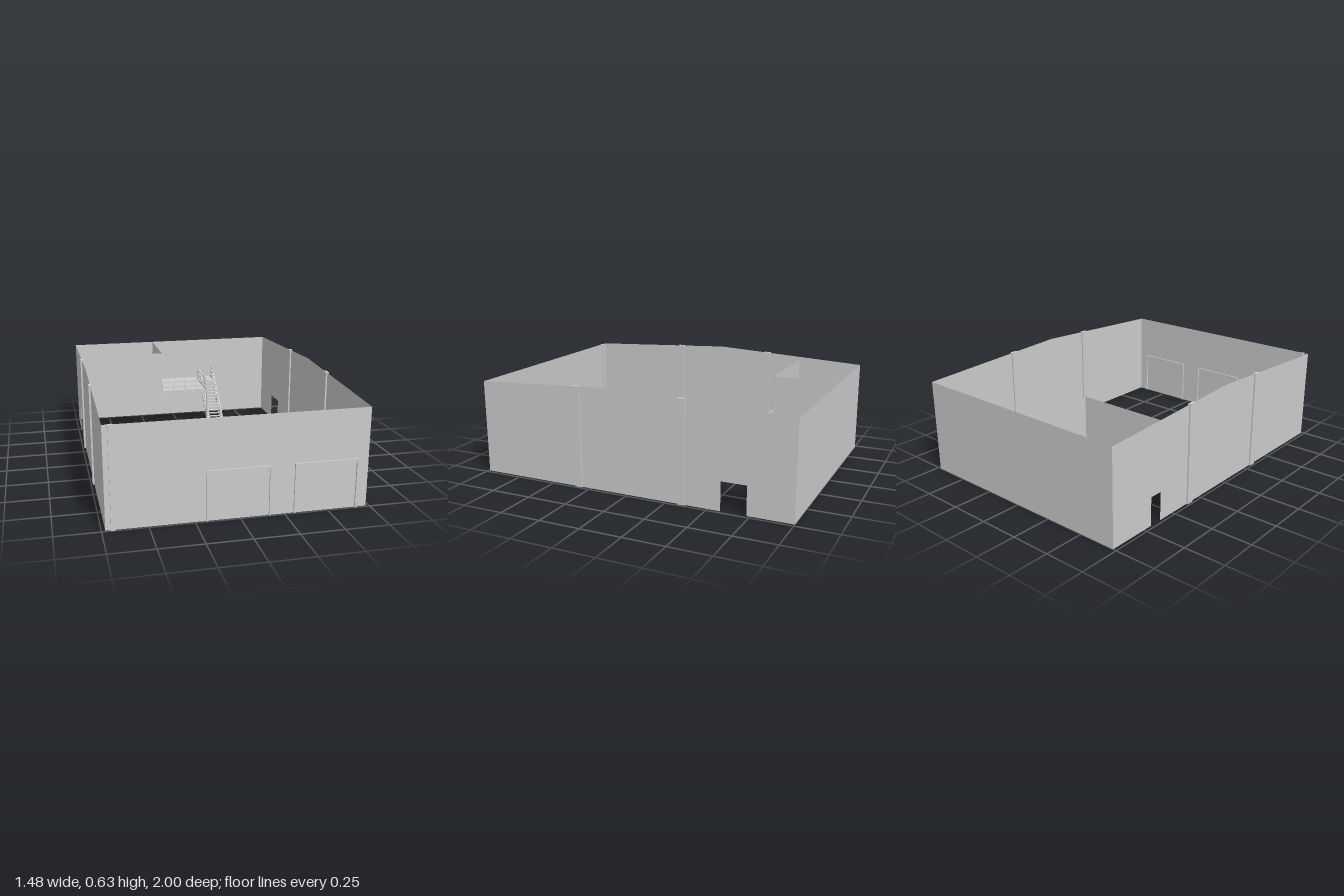
import * as THREE from 'three';

const mat = new THREE.MeshStandardMaterial({ color: 0xcccccc, flatShading: true });
const sheet = new THREE.MeshStandardMaterial({ color: 0xcccccc, side: THREE.DoubleSide });

export function createModel() {
  const root = new THREE.Group();

  const group = (name) => {
    const g = new THREE.Group();
    g.name = name;
    root.add(g);
    return g;
  };

  // Box given by its minimum and maximum corners
  const box = (parent, name, [x0, y0, z0], [x1, y1, z1]) => {
    const m = new THREE.Mesh(new THREE.BoxGeometry(x1 - x0, y1 - y0, z1 - z0), mat);
    m.position.set((x0 + x1) / 2, (y0 + y1) / 2, (z0 + z1) / 2);
    m.name = name;
    parent.add(m);
  };

  // Square bar between two points
  const bar = (parent, name, a, b, w = 0.006, h = w) => {
    const p = new THREE.Vector3(...a), q = new THREE.Vector3(...b);
    const m = new THREE.Mesh(new THREE.BoxGeometry(w, h, p.distanceTo(q)), mat);
    m.position.copy(p).add(q).multiplyScalar(0.5);
    m.lookAt(q);
    m.name = name;
    parent.add(m);
  };

  // Thin wall from an outline; along z the outline's first coordinate is -z
  const wall = (parent, name, pts, { x = 0, z = 0, alongZ = false }) => {
    const shape = new THREE.Shape(pts.map(([u, v]) => new THREE.Vector2(u, v)));
    const m = new THREE.Mesh(new THREE.ShapeGeometry(shape), sheet);
    if (alongZ) m.rotation.y = Math.PI / 2;
    m.position.set(x, 0, z);
    m.name = name;
    parent.add(m);
  };
  const rect = (u0, u1, v0, v1) => [[u0, v0], [u1, v0], [u1, v1], [u0, v1]];

  // Outer walls: flat ends, gabled sides with a doorway each
  const W = 0.73, F = 0.99, B = -1, H = 0.58;
  const walls = group('outerWalls');
  wall(walls, 'frontWall', rect(-W, W, 0, H), { z: F });
  wall(walls, 'backWall', rect(-W, W, 0, H), { z: B });
  const sideWall = (name, x, d0, d1, dh) => wall(walls, name, [
    [-F, 0], [d0, 0], [d0, dh], [d1, dh], [d1, 0], [-B, 0], [-B, H], [0, 0.63], [-F, H],
  ], { x, alongZ: true });
  sideWall('leftWall', W, 0.578, 0.73, 0.175);
  sideWall('rightWall', -W, 0.61, 0.69, 0.175);

  // Columns straddling the walls
  const columns = group('columns');
  for (const x of [-W, W])
    for (const z of [-0.344, 0.325])
      box(columns, 'sideColumn', [x - 0.01, 0, z - 0.023], [x + 0.01, 0.616, z + 0.023]);
  box(columns, 'frontColumn', [-0.7, 0, 0.98], [-0.678, H, 1]);

  // Frames of the two large doors
  const frames = group('doorFrames');
  const t = 0.009, top = 0.29;
  for (const [x0, x1] of [[-0.19, 0.17], [0.303, 0.67]]) {
    box(frames, 'frameJamb', [x0, 0, 0.98], [x0 + t, top, 1]);
    box(frames, 'frameJamb', [x1 - t, 0, 0.98], [x1, top, 1]);
    box(frames, 'frameHead', [x0 + t, top - t, 0.98], [x1 - t, top, 1]);
  }

  // Upper floor with an open-topped room
  const upper = group('upperFloor');
  const y0 = 0.27, y1 = 0.285, ze = -0.58, xe = 0.19, xr = -0.15, zl = -0.89;
  box(upper, 'floorSlab', [-W, y0, B], [xe, y1, ze]);
  box(upper, 'stairLanding', [xe, y0, B], [0.31, y1, zl]);
  wall(upper, 'roomFrontWall', rect(-W, xr, y0, H), { z: ze });
  wall(upper, 'roomSideWall', [
    [-ze, y0], [0.91, y0], [0.91, 0.445], [0.985, 0.445], [0.985, y0], [1, y0], [1, H], [-ze, H],
  ], { x: xr, alongZ: true });
  box(upper, 'supportPost', [0.178, 0, -0.592], [0.19, y0, -0.58]);

  // Guard rails around the deck and landing
  const rails = group('guardRails');
  const guard = (a, b, n) => {
    for (const y of [0.325, 0.362]) bar(rails, 'rail', [a[0], y, a[1]], [b[0], y, b[1]]);
    bar(rails, 'toeBoard', [a[0], 0.292, a[1]], [b[0], 0.292, b[1]], 0.004, 0.014);
    for (let i = 0; i <= n; i++) {
      const x = a[0] + (b[0] - a[0]) * i / n, z = a[1] + (b[1] - a[1]) * i / n;
      bar(rails, 'railPost', [x, y0, z], [x, 0.362, z]);
    }
  };
  guard([xr + 0.004, -0.588], [0.184, -0.588], 4);
  guard([0.184, -0.588], [0.184, zl], 4);
  guard([0.306, zl - 0.003], [0.306, -0.995], 2);

  // Straight stair descending towards the front
  const stair = group('stair');
  const zb = -0.57, steps = 16, rise = y1 / steps, run = (zb - zl) / steps;
  for (let i = 0; i < steps; i++) {
    const z = zb - run * i, y = rise * (i + 1);
    box(stair, 'tread', [0.2, y - 0.005, z - run - 0.002], [0.295, y, z]);
  }
  for (const x of [0.198, 0.297]) {
    bar(stair, 'stringer', [x, 0.008, zb], [x, y1 - 0.01, zl], 0.005, 0.018);
    for (const up of [0.042, 0.078])
      bar(stair, 'handrail', [x, up + 0.01, zb], [x, y1 + up, zl]);
    for (let i = 0; i <= 4; i++) {
      const z = zb + (zl - zb) * i / 4, y = 0.01 + (y1 - 0.01) * i / 4;
      bar(stair, 'handrailPost', [x, Math.max(0, y - 0.01), z], [x, y + 0.078, z]);
    }
  }

  return root;
}
